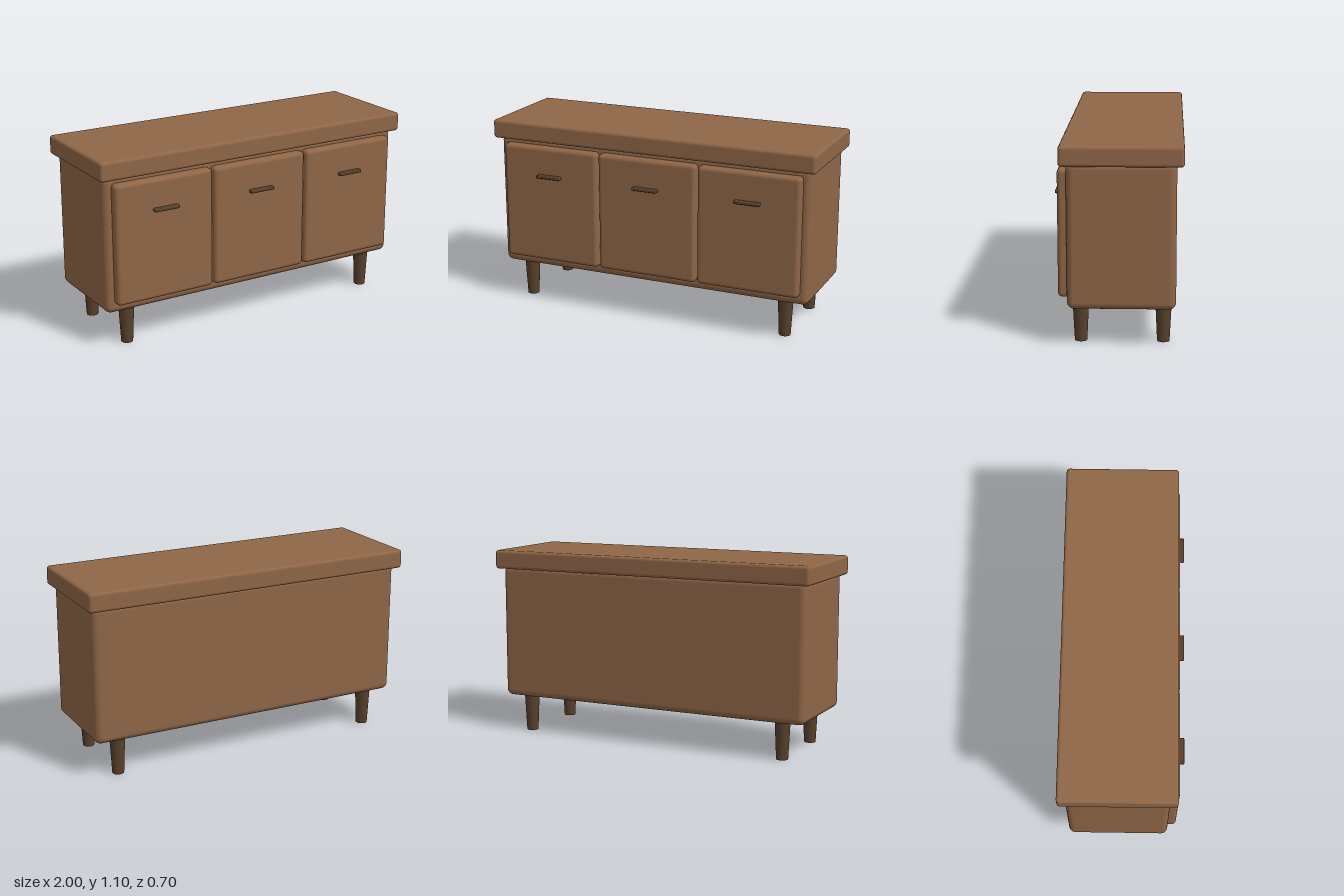
import * as THREE from 'three';
import { RoundedBoxGeometry } from 'three/addons/geometries/RoundedBoxGeometry.js';

export function createModel() {
  const wood = new THREE.MeshStandardMaterial({ color: 0x8f6646 });
  wood.name = 'warm wood';
  const darkWood = new THREE.MeshStandardMaterial({ color: 0x57402b });
  darkWood.name = 'dark wood';

  const model = new THREE.Group();
  model.name = 'sideboard';

  // Rounded box given by its [min, max] extent on each axis
  function roundedBox(name, [x0, x1], [y0, y1], [z0, z1], radius, material) {
    const geometry = new RoundedBoxGeometry(x1 - x0, y1 - y0, z1 - z0, 4, radius);
    const mesh = new THREE.Mesh(geometry, material);
    mesh.name = name;
    mesh.position.set((x0 + x1) / 2, (y0 + y1) / 2, (z0 + z1) / 2);
    model.add(mesh);
  }

  // Cabinet body, its upper edge tucked just into the top slab
  roundedBox('body', [-0.97, 0.97], [0.213, 1.01], [-0.31, 0.272], 0.038, wood);
  roundedBox('top', [-1, 1], [0.992, 1.103], [-0.348, 0.309], 0.018, wood);

  // Three doors, each with a slim pull
  ['right', 'middle', 'left'].forEach((side, i) => {
    const x = (i - 1) * 0.62;
    roundedBox(side + 'Door', [x - 0.304, x + 0.304], [0.269, 0.969], [0.24, 0.321], 0.024, wood);
    roundedBox(side + 'Handle', [x - 0.077, x + 0.077], [0.786, 0.805], [0.305, 0.35], 0.007, darkWood);
  });

  // Tapered round legs
  const legGeometry = new THREE.CylinderGeometry(0.045, 0.034, 0.23, 24);
  for (const [sideName, x] of [['Left', 0.82], ['Right', -0.82]]) {
    for (const [endName, z] of [['front', 0.205], ['back', -0.243]]) {
      const leg = new THREE.Mesh(legGeometry, darkWood);
      leg.name = endName + sideName + 'Leg';
      leg.position.set(x, 0.115, z);
      model.add(leg);
    }
  }

  return model;
}
